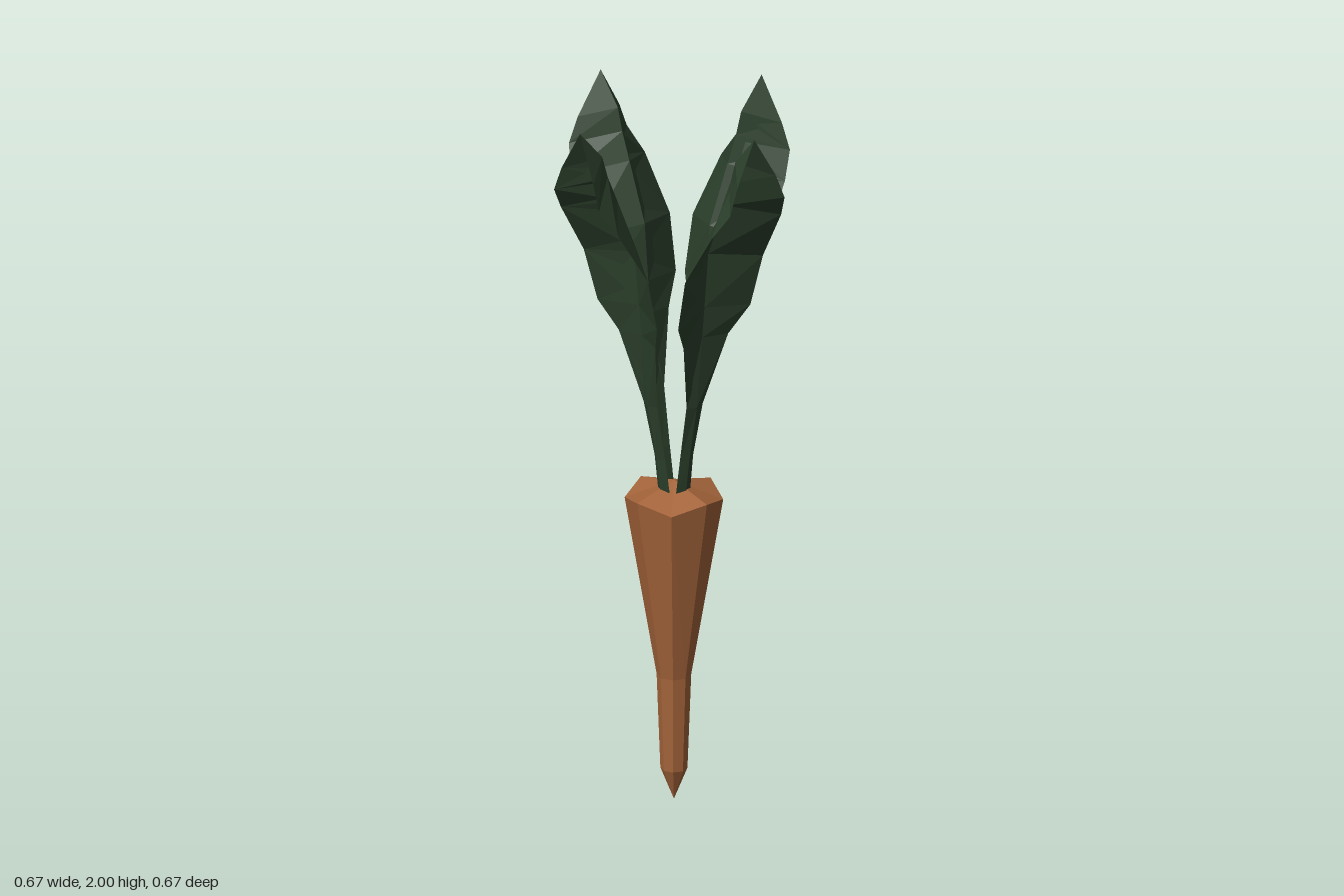
import * as THREE from 'three';

const rootMaterial = new THREE.MeshStandardMaterial({ color: 0xa4643a, flatShading: true });
const leafMaterial = new THREE.MeshStandardMaterial({ color: 0x2c402c, flatShading: true, side: THREE.DoubleSide });

// Eight-sided tapering root with a low pointed crown
function createRoot() {
  const profile = [[0, 0], [0.036, 0.09], [0.046, 0.36], [0.131, 0.888], [0, 0.92]]
    .map(([r, y]) => new THREE.Vector2(r, y));
  const geometry = new THREE.LatheGeometry(profile, 8, Math.PI / 8);
  // Every second rim corner sits lower
  for (let i = 0; i <= 8; i += 2) geometry.attributes.position.setY(i * profile.length + 3, 0.866);
  geometry.computeVertexNormals();
  const root = new THREE.Mesh(geometry, rootMaterial);
  root.name = 'root';
  root.position.set(-0.004, 0, -0.006);
  return root;
}

// Leaf rows from stem to tip: edge distance, edge height, half width, rib depth, rib thickness
const leafRows = [
  [0.032, 0.88, 0.026, 0, 0.012],
  [0.048, 1.0, 0.023, 0, 0.012],
  [0.08, 1.16, 0.029, 0.003, 0.012],
  [0.124, 1.36, 0.08, 0.026, 0.01],
  [0.157, 1.44, 0.13, 0.05, 0.008],
  [0.195, 1.59, 0.14, 0.075, 0.008],
  [0.283, 1.74, 0.125, 0.1, 0.008],
  [0.326, 1.81, 0.098, 0.113, 0.008],
  [0.323, 1.88, 0.07, 0.09, 0.006],
  [0.314, 2.0, 0, 0, 0],
];

// Leaf growing toward +x, folded so the rib stands toward the plant's middle
function createLeafGeometry() {
  const positions = [], indices = [];
  for (const [out, y, half, depth, thick] of leafRows) {
    const rib = (d) => [out - 0.92 * d, y + 0.38 * d, 0];
    positions.push(out, y, -half, ...rib(depth), out, y, half, ...rib(depth - thick));
  }
  for (let i = 0; i < leafRows.length - 1; i++) {
    for (let k = 0; k < 4; k++) {
      const a = i * 4 + k, b = i * 4 + (k + 1) % 4;
      indices.push(a, b, b + 4);
      if (i < leafRows.length - 2) indices.push(a, b + 4, a + 4);
    }
  }
  const geometry = new THREE.BufferGeometry();
  geometry.setAttribute('position', new THREE.Float32BufferAttribute(positions, 3));
  geometry.setIndex(indices);
  geometry.computeVertexNormals();
  return geometry;
}

export function createModel() {
  const model = new THREE.Group();
  model.name = 'carrot';
  model.add(createRoot());

  // Four leaves around the crown
  const leafGeometry = createLeafGeometry();
  const leafAngles = { leftLeaf: 22, frontLeaf: 117.2, rightLeaf: 206, backLeaf: 292 };
  for (const [name, degrees] of Object.entries(leafAngles)) {
    const leaf = new THREE.Mesh(leafGeometry, leafMaterial);
    leaf.name = name;
    leaf.rotation.y = -THREE.MathUtils.degToRad(degrees);
    model.add(leaf);
  }
  return model;
}
